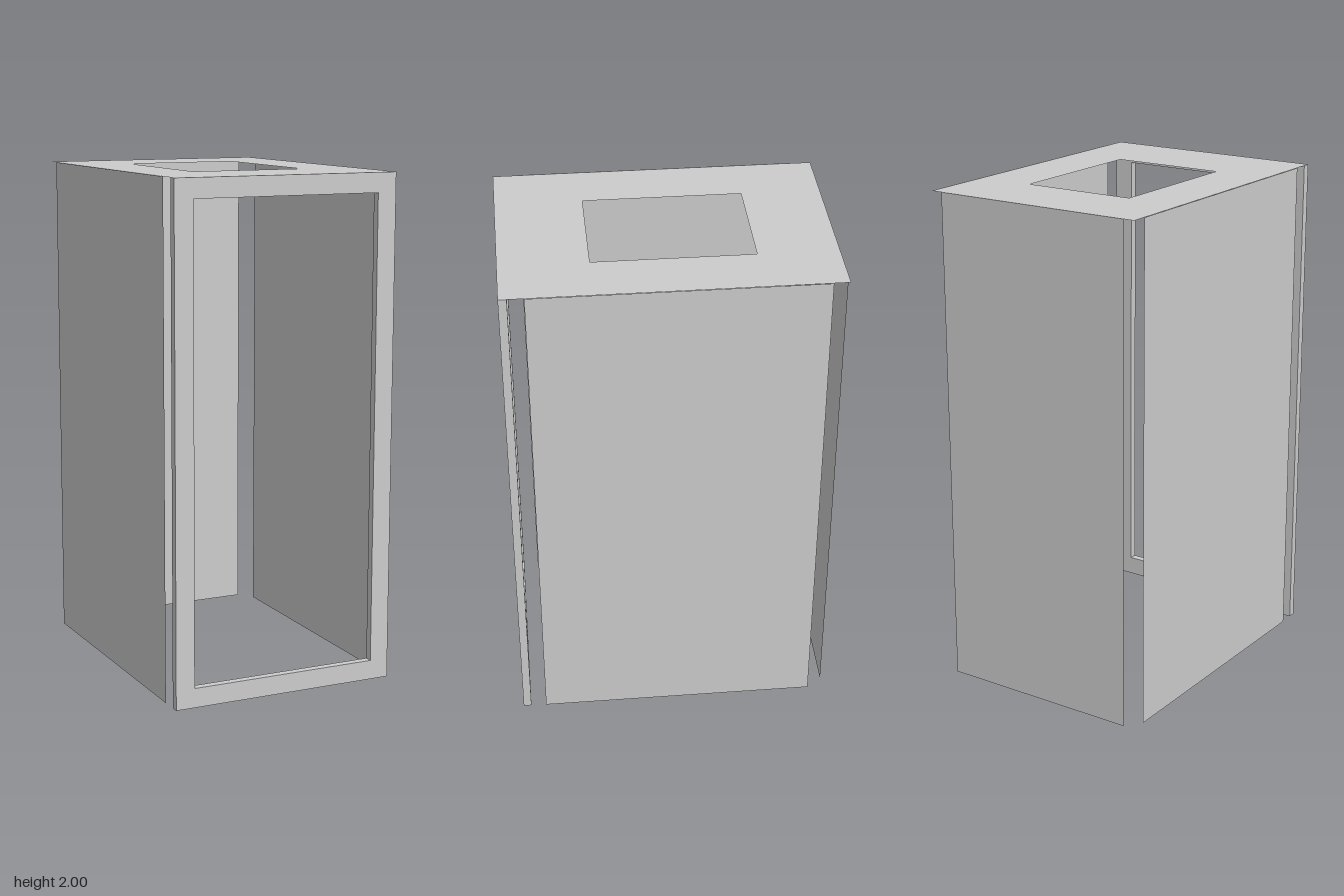
import * as THREE from 'three';

export function createModel() {
  const model = new THREE.Group();
  const grey = new THREE.MeshStandardMaterial({ color: 0xcccccc, side: THREE.DoubleSide });
  grey.name = 'panel grey';

  const halfW = 0.46, height = 2, back = -0.632, front = 0.632, frameBack = 0.6;
  const midZ = (back + frameBack) / 2;

  function add(name, geometry, x, y, z) {
    const mesh = new THREE.Mesh(geometry, grey);
    mesh.name = name;
    mesh.position.set(x, y, z);
    model.add(mesh);
    return mesh;
  }

  // Rectangle centred on the origin with a centred rectangular opening
  function ring(w, h, holeW, holeH) {
    const corners = (a, b) => [[-a, -b], [a, -b], [a, b], [-a, b]]
      .map(([x, y]) => new THREE.Vector2(x / 2, y / 2));
    const shape = new THREE.Shape(corners(w, h));
    shape.holes.push(new THREE.Path(corners(holeW, holeH).reverse()));
    return shape;
  }

  // Open door frame at the front
  const border = 0.077;
  const frame = ring(halfW * 2, height, halfW * 2 - border * 2, height - border * 2);
  add('frontFrame', new THREE.ExtrudeGeometry(frame, { depth: front - frameBack, bevelEnabled: false }),
    0, height / 2, frameBack);

  // Flat roof with a central opening half its size
  const depth = frameBack - back;
  const roof = new THREE.ShapeGeometry(ring(halfW * 2, depth, halfW, depth / 2));
  roof.rotateX(-Math.PI / 2);
  add('roof', roof, 0, height, midZ);

  // Thin side walls, leaving gaps at the corners
  for (const [name, s] of [['leftWall', 1], ['rightWall', -1]]) {
    const wall = new THREE.PlaneGeometry(depth * 0.9, height);
    wall.rotateY(s * Math.PI / 2);
    add(name, wall, s * (halfW + 0.002), height / 2, midZ);
  }

  // Thin back wall
  const rear = new THREE.PlaneGeometry(halfW * 2 * 0.9, height);
  rear.rotateY(Math.PI);
  add('backWall', rear, 0, height / 2, back);

  return model;
}
